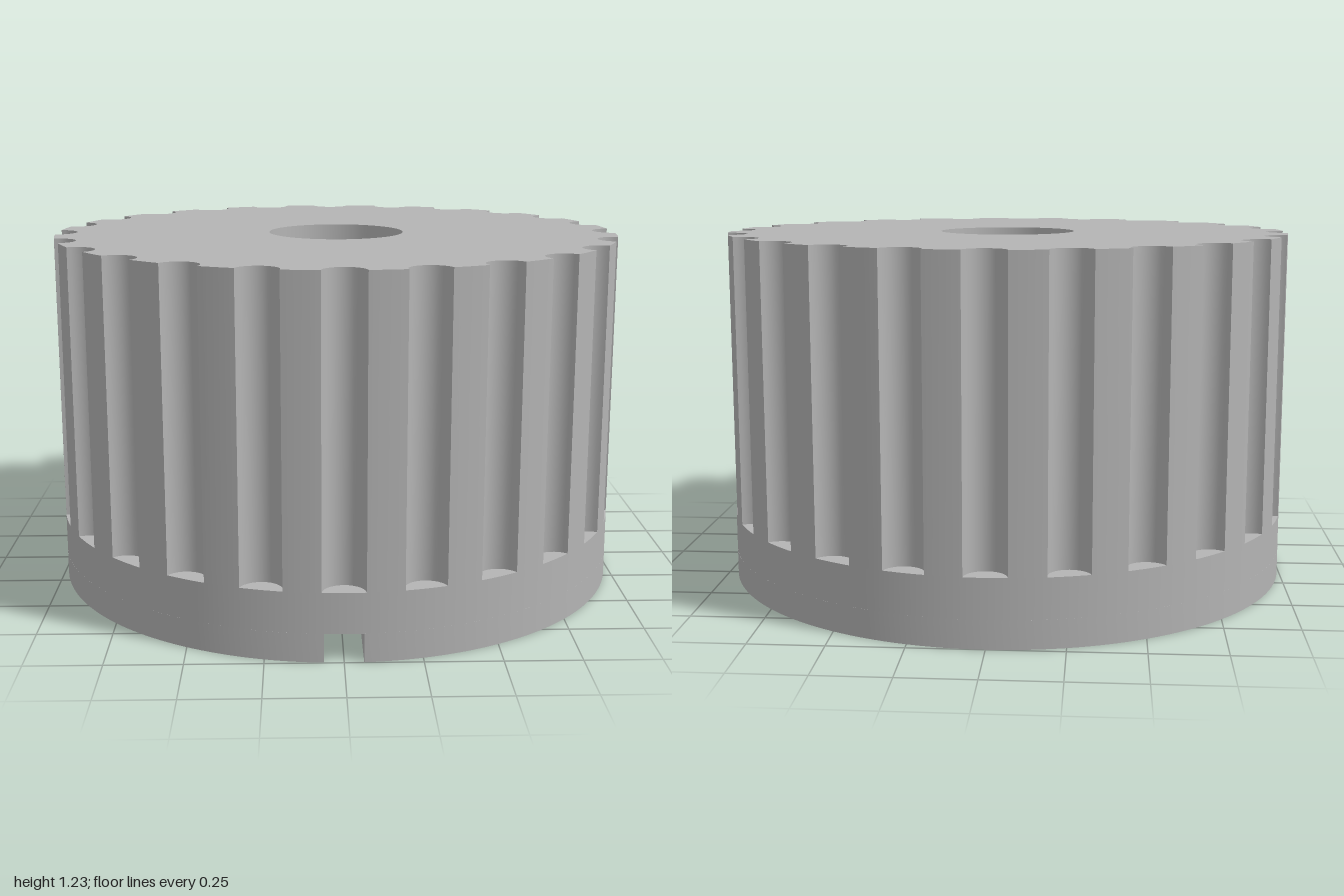
import * as THREE from 'three';
import { toCreasedNormals } from 'three/addons/utils/BufferGeometryUtils.js';

const H = 1.23, BASE = 0.23;                   // total height, plain base height
const FLUTES = 24, FLUTE_R = 0.07;             // grip grooves
const BORE_R = 0.24;                           // shaft bore
const HOLE_R = 0.1, HOLE_Y = 0.73;             // set screw hole on the +x side
const SLOT_W = 0.0625, SLOT_H = 0.095, SLOT_Z = 0.155;

// Builds a creased geometry from quads given as four corners each
function quads(list) {
  const pos = [];
  for (const [a, b, c, d] of list) pos.push(...a, ...b, ...c, ...a, ...c, ...d);
  const g = new THREE.BufferGeometry();
  g.setAttribute('position', new THREE.Float32BufferAttribute(pos, 3));
  return toCreasedNormals(g, 0.6);
}

// Half height of the screw hole at a given wall column
const holeHalf = ([x, z]) => (x > 0 ? Math.sqrt(Math.max(0, HOLE_R ** 2 - z * z)) : 0);

// Upright wall along a closed [x, z] profile, pierced by the screw hole
function wall(profile) {
  const list = [];
  profile.forEach((a, i) => {
    const b = profile[(i + 1) % profile.length];
    const ha = holeHalf(a), hb = holeHalf(b);
    const at = ([x, z], y) => [x, y, z];
    list.push([at(a, BASE), at(b, BASE), at(b, HOLE_Y - hb), at(a, HOLE_Y - ha)]);
    list.push([at(a, HOLE_Y + ha), at(b, HOLE_Y + hb), at(b, H), at(a, H)]);
  });
  return quads(list);
}

// Fluted outline, anticlockwise seen from above
function flutedProfile() {
  const pts = [], step = (Math.PI * 2) / FLUTES;
  const d = 2 * Math.asin(FLUTE_R / 2);
  const near = [0.08, 0.09, 0.0955, 0.099, Math.asin(HOLE_R)];
  const land = [...near, step / 2, ...near.map((t) => step - t).reverse()];
  for (let i = 0; i < FLUTES; i++) {
    const a = i * step, n = 14;
    for (let k = 0; k <= n; k++) {
      const t = a - (Math.PI / 2 + d / 2) - (k / n) * (Math.PI - d);
      pts.push([Math.cos(a) + FLUTE_R * Math.cos(t), -Math.sin(a) - FLUTE_R * Math.sin(t)]);
    }
    for (const t of land) pts.push([Math.cos(a + t), -Math.sin(a + t)]);
  }
  return pts;
}

export function createModel() {
  const group = new THREE.Group();
  const grey = new THREE.MeshStandardMaterial({ color: 0xb4b4b4 });
  grey.name = 'grey';
  const add = (name, geometry, y = 0) => {
    const mesh = new THREE.Mesh(geometry, grey);
    mesh.name = name;
    mesh.position.y = y;
    group.add(mesh);
  };

  // Lower base disc with the radial slot open to the front
  const a = Math.asin(SLOT_W);
  const disc = new THREE.Shape();
  disc.absarc(0, 0, 1, -Math.PI / 2 + a, Math.PI * 1.5 - a, false);
  disc.lineTo(-SLOT_W, -SLOT_Z);
  disc.lineTo(SLOT_W, -SLOT_Z);
  disc.closePath();
  const lower = new THREE.ExtrudeGeometry(disc, { depth: SLOT_H, bevelEnabled: false, curveSegments: 120 });
  lower.rotateX(-Math.PI / 2);
  add('slottedBase', toCreasedNormals(lower, 0.6));

  // Upper base disc: slot ceiling, flute ledges and bore floor
  add('baseRim', new THREE.CylinderGeometry(1, 1, BASE - SLOT_H, 120), (BASE + SLOT_H) / 2);

  // Fluted grip
  const outer = flutedProfile();
  add('flutedGrip', wall(outer));

  // Bore wall, sharing its columns with the screw hole
  const cols = outer.filter(([x, z]) => x > 0 && Math.abs(z) <= HOLE_R + 1e-6).sort((p, q) => p[1] - q[1]);
  const boreX = (z) => Math.sqrt(BORE_R ** 2 - z * z);
  const bore = cols.map(([, z]) => [boreX(z), z]);
  const t0 = Math.asin(HOLE_R / BORE_R), n = 56;
  for (let k = 1; k < n; k++) {
    const t = t0 + (k / n) * (Math.PI * 2 - 2 * t0);
    bore.push([BORE_R * Math.cos(t), BORE_R * Math.sin(t)]);
  }
  add('boreWall', wall(bore));

  // Screw hole tunnel from the grip to the bore
  const ring = [
    ...cols.map((c) => [c[0], HOLE_Y + holeHalf(c), c[1]]),
    ...cols.slice(1, -1).reverse().map((c) => [c[0], HOLE_Y - holeHalf(c), c[1]]),
  ];
  const inner = ([, y, z]) => [boreX(z), y, z];
  add('screwHole', quads(ring.map((p, i) => {
    const q = ring[(i + 1) % ring.length];
    return [p, q, inner(q), inner(p)];
  })));

  // Top face with the bore opening
  const top = new THREE.Shape(outer.map(([x, z]) => new THREE.Vector2(x, -z)));
  top.holes.push(new THREE.Path(bore.map(([x, z]) => new THREE.Vector2(x, -z))));
  add('topFace', new THREE.ShapeGeometry(top).rotateX(-Math.PI / 2), H);

  return group;
}
